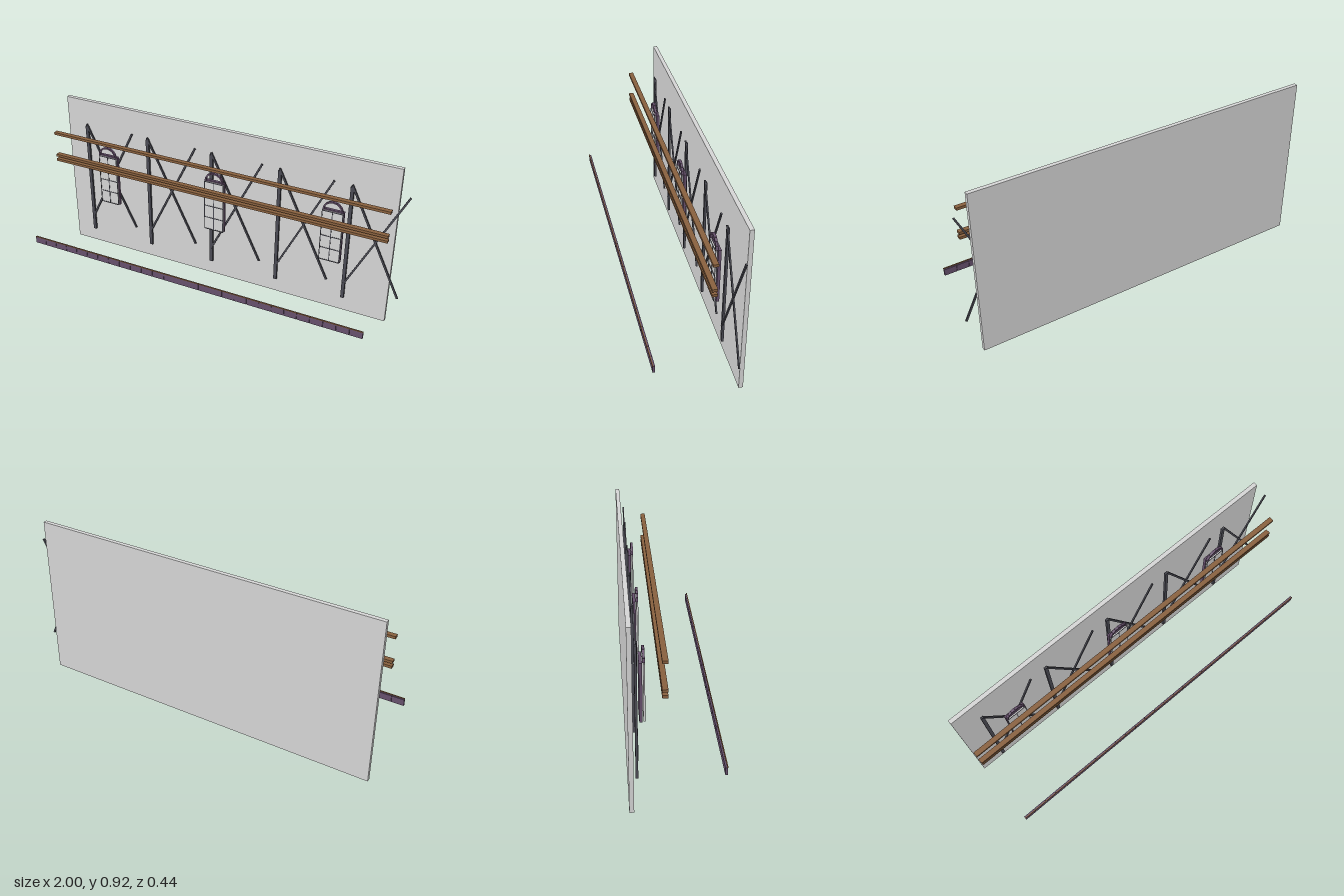
import * as THREE from 'three';

const mat = (name, color) => {
  const m = new THREE.MeshStandardMaterial({ color });
  m.name = name;
  return m;
};

export function createModel() {
  const root = new THREE.Group();
  root.name = 'facade';
  const grey = mat('wallGrey', 0xd4d4d4);
  const iron = mat('darkIron', 0x4a4a53);
  const brown = mat('woodBrown', 0x88603e);
  const purple = mat('dullPurple', 0x66506c);

  // Box given by its minimum and maximum on each axis
  const box = (name, m, x0, x1, y0, y1, z0, z1, parent = root) => {
    const mesh = new THREE.Mesh(new THREE.BoxGeometry(x1 - x0, y1 - y0, z1 - z0), m);
    mesh.position.set((x0 + x1) / 2, (y0 + y1) / 2, (z0 + z1) / 2);
    mesh.name = name;
    parent.add(mesh);
  };
  // Flat bar between two points in the xy plane
  const bar = (name, m, ax, ay, bx, by, width, z0, z1, parent) => {
    const len = Math.hypot(bx - ax, by - ay);
    const mesh = new THREE.Mesh(new THREE.BoxGeometry(len, width, z1 - z0), m);
    mesh.position.set((ax + bx) / 2, (ay + by) / 2, (z0 + z1) / 2);
    mesh.rotation.z = Math.atan2(by - ay, bx - ax);
    mesh.name = name;
    parent.add(mesh);
  };

  const left = -1, right = 0.937;
  box('backWall', grey, left, right, 0, 0.92, -0.22, -0.198);

  // Posts with crossed braces
  for (const x of [-0.865, -0.475, -0.083, 0.31, 0.7]) {
    const bay = new THREE.Group();
    bay.name = 'bracedBay';
    root.add(bay);
    box('post', iron, x - 0.009, x + 0.009, 0.095, 0.773, -0.185, -0.173, bay);
    bar('fallingBrace', iron, x, 0.787, x + 0.294, 0.185, 0.01, -0.178, -0.17, bay);
    bar('risingBrace', iron, x, 0.185, x + 0.294, 0.787, 0.01, -0.178, -0.17, bay);
  }

  // Arched windows: deep frame, pale pane, glazing bars and segmented arch
  for (const x of [-0.715, -0.048, 0.621]) {
    const win = new THREE.Group();
    win.name = 'archedWindow';
    root.add(win);
    box('windowFrame', purple, x - 0.058, x + 0.058, 0.33, 0.635, -0.161, -0.146, win);
    box('pane', grey, x - 0.057, x + 0.057, 0.333, 0.63, -0.141, -0.135, win);
    for (let i = 0; i < 3; i++) {
      const bx = x + (i - 1) * 0.055;
      box('uprightGlazingBar', iron, bx - 0.002, bx + 0.002, 0.333, 0.63, -0.135, -0.133, win);
    }
    for (let i = 0; i < 5; i++) {
      const by = 0.335 + i * 0.0733;
      box('crossGlazingBar', iron, x - 0.057, x + 0.057, by - 0.002, by + 0.002, -0.135, -0.133, win);
    }
    const n = 8, r = 0.051;
    for (let i = 0; i < n; i++) {
      const a = (Math.PI * i) / n, b = (Math.PI * (i + 1)) / n;
      bar('archSegment', purple, x + r * Math.cos(a), 0.634 + r * Math.sin(a),
        x + r * Math.cos(b), 0.634 + r * Math.sin(b), 0.008, -0.146, -0.133, win);
    }
  }

  // Long timber beams
  for (const y of [0.591, 0.619, 0.755])
    box('beam', brown, left, right, y - 0.007, y + 0.007, -0.072, -0.046);

  // Front kerb of equal panels with a thin timber cap
  const count = 28, step = (right - left) / count;
  for (let i = 0; i < count; i++)
    box('kerbPanel', purple, left + i * step, left + (i + 1) * step - 0.002, 0.184, 0.221, 0.207, 0.219);
  box('kerbCap', brown, left, right, 0.221, 0.225, 0.215, 0.22);

  return root;
}
